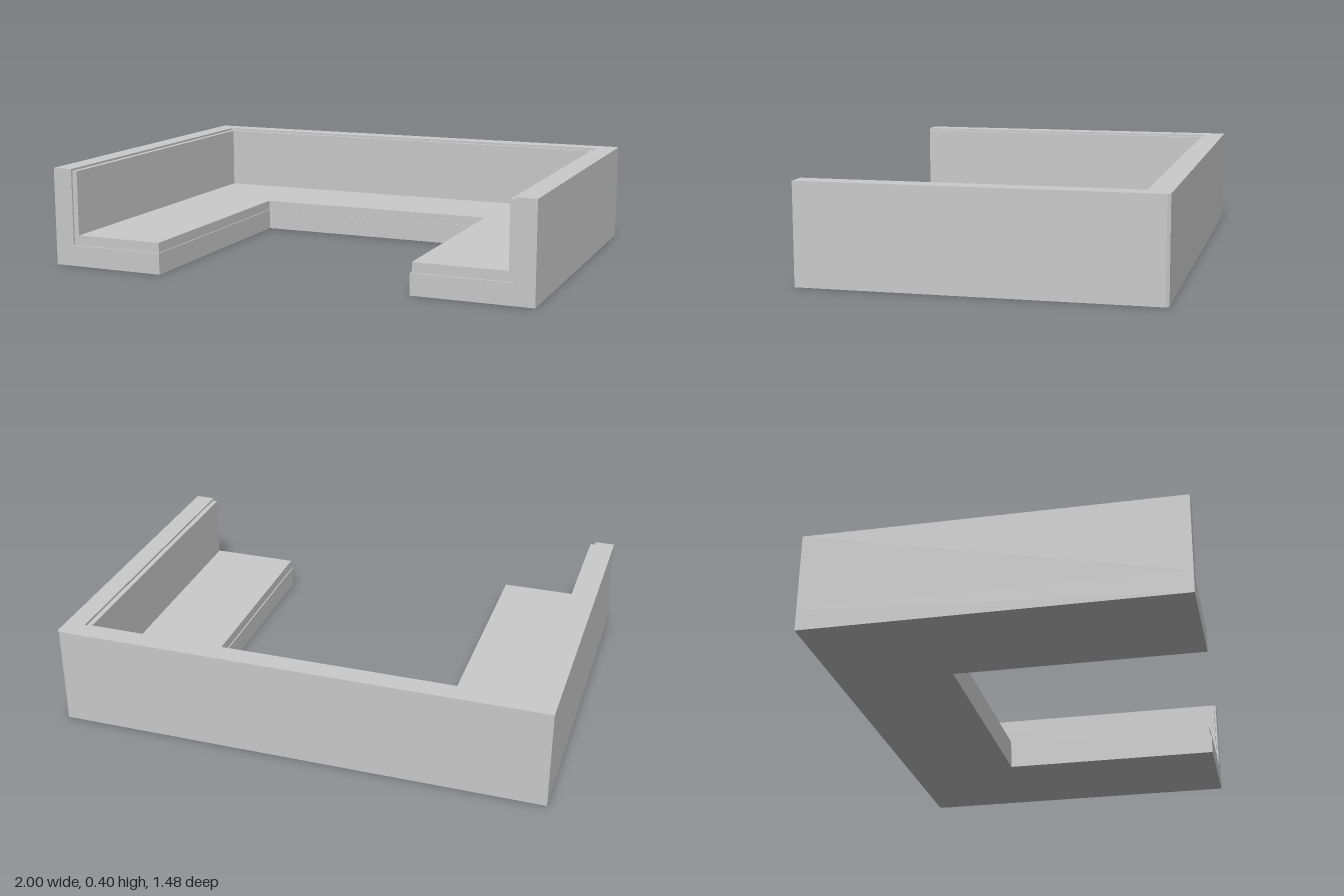
import * as THREE from 'three';

// Arm ends: the arm on -x is longer than the one on +x.
const END_RIGHT = 0.737, END_LEFT = 0.663;

// U-shaped slab open towards +z, extruded from y0 up to y1.
function uSlab(name, { outX, backZ, inX, inZ, y0, y1, inset = 0, chamfer = 0 }) {
  const a = END_RIGHT - inset, b = END_LEFT - inset;
  const outline = [
    [-outX, a], [-inX, a], [-inX, inZ], [inX, inZ], [inX, b], [outX, b],
    [outX, backZ + chamfer],
  ];
  if (chamfer) outline.push([outX - chamfer, backZ]);
  outline.push([-outX, backZ]);
  const shape = new THREE.Shape(outline.map(([x, z]) => new THREE.Vector2(x, -z)));
  const geometry = new THREE.ExtrudeGeometry(shape, { depth: y1 - y0, bevelEnabled: false });
  geometry.rotateX(-Math.PI / 2);
  geometry.translate(0, y0, 0);
  const mesh = new THREE.Mesh(geometry, new THREE.MeshStandardMaterial({ color: 0xcccccc }));
  mesh.name = name;
  return mesh;
}

export function createModel() {
  const sofa = new THREE.Group();
  sofa.name = 'cornerSofa';
  sofa.add(
    // Frame: low plinth with a tall outer wall
    uSlab('base', { outX: 1, backZ: -0.74, inX: 0.517, inZ: -0.265, y0: 0, y1: 0.087, chamfer: 0.012 }),
    uSlab('outerWall', { outX: 1, backZ: -0.74, inX: 0.917, inZ: -0.658, y0: 0.087, y1: 0.402, chamfer: 0.012 }),
    // Upholstery, set back slightly from the frame ends
    uSlab('seatCushion', { outX: 0.917, backZ: -0.658, inX: 0.522, inZ: -0.27, y0: 0.087, y1: 0.128, inset: 0.008 }),
    uSlab('backPad', { outX: 0.917, backZ: -0.658, inX: 0.896, inZ: -0.638, y0: 0.128, y1: 0.393, inset: 0.008 }),
  );
  return sofa;
}
